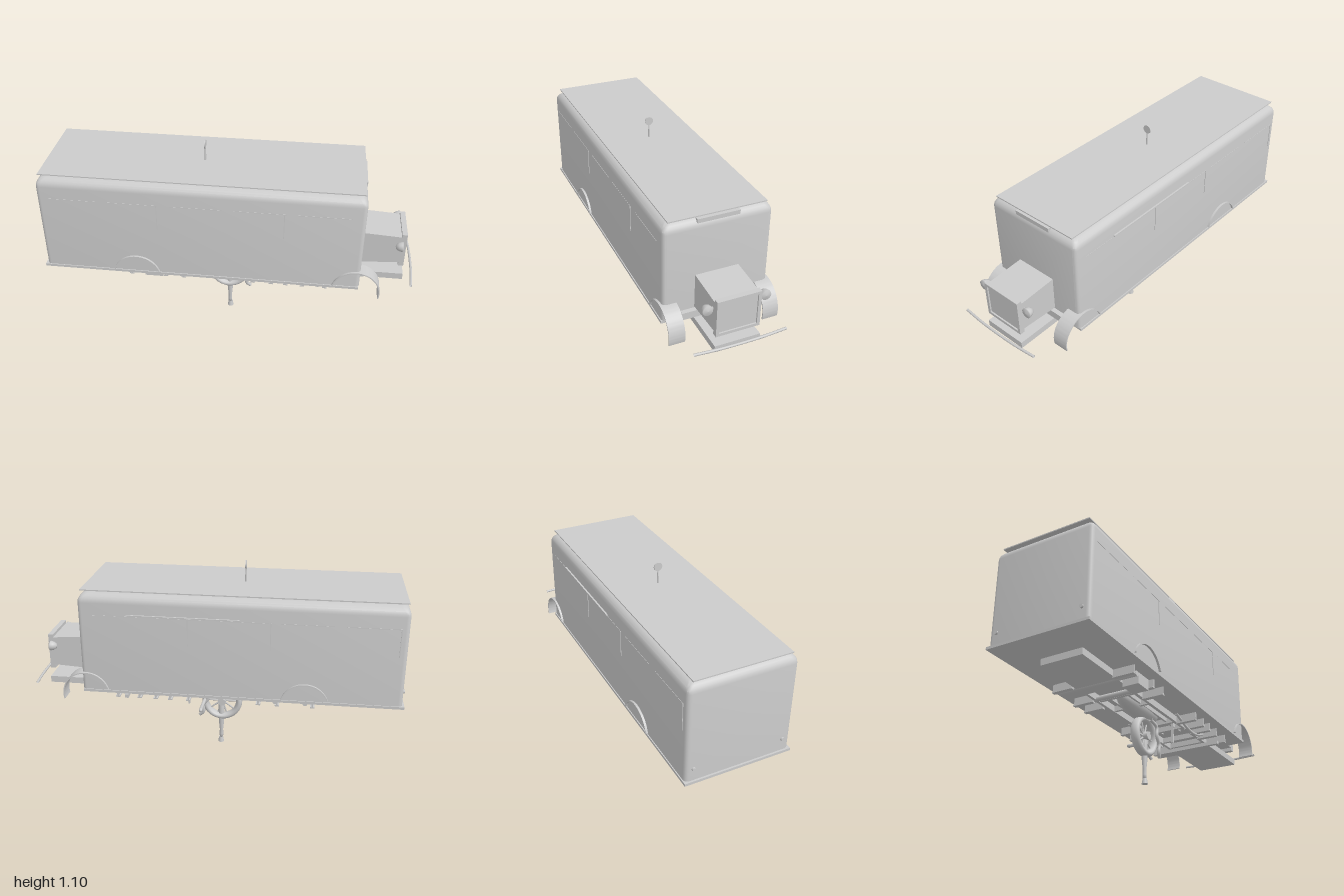
import * as THREE from 'three';
import { toCreasedNormals } from 'three/addons/utils/BufferGeometryUtils.js';

const mat = new THREE.MeshStandardMaterial({ color: 0xcccccc });
const thin = new THREE.MeshStandardMaterial({ color: 0xcccccc, side: THREE.DoubleSide });

// Box body with rounded corners, lofted upward from rounded rectangles
function coachShell(x0, x1, halfZ, y0, y1, corner, edge) {
  const rings = [[y0, 0]];
  for (let k = 0; k <= 6; k++) {
    const a = (k / 6) * Math.PI / 2;
    rings.push([y1 - edge + edge * Math.sin(a), edge * (1 - Math.cos(a))]);
  }
  const cx = (x0 + x1) / 2, hx = (x1 - x0) / 2, pos = [], idx = [], seg = 4, n = 4 * (seg + 1);
  for (const [y, inset] of rings)
    for (let q = 0; q < 4; q++)
      for (let s = 0; s <= seg; s++) {
        const a = (q + s / seg) * Math.PI / 2;
        const sx = q === 0 || q === 3 ? 1 : -1, sz = q < 2 ? 1 : -1;
        pos.push(cx + sx * (hx - inset - corner) + corner * Math.cos(a), y,
          sz * (halfZ - inset - corner) + corner * Math.sin(a));
      }
  for (let r = 0; r < rings.length - 1; r++)
    for (let i = 0; i < n; i++) {
      const a = r * n + i, b = r * n + (i + 1) % n;
      idx.push(a, a + n, b, b, a + n, b + n);
    }
  const top = (rings.length - 1) * n, c = pos.length / 3;
  pos.push(cx, y1, 0, cx, y0, 0);
  for (let i = 0; i < n; i++) {
    const j = (i + 1) % n;
    idx.push(c, top + j, top + i, c + 1, i, j);
  }
  const g = new THREE.BufferGeometry();
  g.setAttribute('position', new THREE.Float32BufferAttribute(pos, 3));
  g.setIndex(idx);
  return toCreasedNormals(g, 0.5);
}

export function createModel() {
  const root = new THREE.Group();
  const add = (name, geo, x = 0, y = 0, z = 0, m = mat) => {
    const mesh = new THREE.Mesh(geo, m);
    mesh.name = name;
    mesh.position.set(x, y, z);
    root.add(mesh);
    return mesh;
  };
  // Box given by its limits on each axis
  const box = (name, x0, x1, y0, y1, z0, z1) =>
    add(name, new THREE.BoxGeometry(x1 - x0, y1 - y0, z1 - z0), (x0 + x1) / 2, (y0 + y1) / 2, (z0 + z1) / 2);
  const tube = (name, pts, r) => add(name, new THREE.TubeGeometry(
    new THREE.CatmullRomCurve3(pts.map(p => new THREE.Vector3(...p))), 20, r, 8), 0, 0, 0, thin);

  // Coach body, sill and roof sheet
  add('body', coachShell(-0.99, 0.71, 0.283, 0.43, 0.973, 0.022, 0.05));
  box('sill', -1, 0.705, 0.418, 0.432, -0.288, 0.288);
  box('roofSheet', -0.98, 0.7, 0.98, 0.986, -0.255, 0.255);
  box('roofSpacer', -0.9, 0.62, 0.97, 0.981, -0.2, 0.2);
  box('destinationBoard', 0.67, 0.708, 0.95, 0.972, -0.11, 0.11);

  // Window rails and pillar strips on the sides
  for (const s of [-1, 1]) {
    for (let i = 0; i < 5; i++) {
      const x = -0.95 + i * 0.33;
      box('windowRail', x, x + 0.27, 0.855, 0.858, s * 0.2835 - 0.001, s * 0.2835 + 0.001);
    }
    for (const x of s > 0 ? [-0.36, 0.3] : [0.13, -0.3, -0.95])
      box('pillarStrip', x - 0.002, x + 0.002, 0.71, 0.858, s * 0.284 - 0.002, s * 0.284 + 0.002);
    const lamp = add('tailLamp', new THREE.CylinderGeometry(0.01, 0.01, 0.012, 12), -0.993, 0.5, s * 0.24);
    lamp.rotation.z = Math.PI / 2;
  }
  box('doorTrack', -0.14, 0.45, 0.862, 0.868, -0.292, -0.28);

  // Tapered hood with radiator and filler cap edge
  const hood = new THREE.BoxGeometry(0.22, 0.19, 0.23);
  const hp = hood.attributes.position;
  for (let i = 0; i < hp.count; i++)
    if (hp.getX(i) > 0) hp.setY(i, hp.getY(i) * 0.86);
  hood.computeVertexNormals();
  add('hood', hood, 0.81, 0.57, 0);
  box('radiatorCore', 0.918, 0.938, 0.475, 0.66, -0.105, 0.105);
  for (const s of [-1, 1]) {
    box('radiatorSide', 0.918, 0.946, 0.467, 0.668, s * 0.107 - 0.008, s * 0.107 + 0.008);
    box('radiatorRail', 0.918, 0.946, s > 0 ? 0.652 : 0.467, s > 0 ? 0.668 : 0.483, -0.11, 0.11);
  }
  box('hoodFooting', 0.7, 0.735, 0.43, 0.47, -0.19, 0.19);

  // Headlamps: rounded bowls facing forward, on short brackets
  const bowl = new THREE.LatheGeometry([[0, -0.026], [0.014, -0.022], [0.023, -0.008], [0.027, 0.008],
    [0.026, 0.014], [0, 0.018]].map(p => new THREE.Vector2(...p)), 20);
  for (const s of [-1, 1]) {
    add('headlamp', bowl, 0.912, 0.617, s * 0.151, thin).rotation.z = -Math.PI / 2;
    box('headlampBracket', 0.9, 0.91, 0.605, 0.615, s * 0.12 - 0.02, s * 0.12 + 0.02);
  }

  // Gently bowed bumper
  tube('bumper', [[0.982, 0.433, -0.243], [0.992, 0.433, -0.1], [0.992, 0.433, 0.1], [0.982, 0.433, 0.243]], 0.007);

  // Fenders: thin arched shells
  const fender = (x, z0, z1, a0, a1) => {
    const sh = new THREE.Shape();
    sh.absarc(0, 0, 0.13, a0, a1, false);
    sh.absarc(0, 0, 0.124, a1, a0, true);
    const g = new THREE.ExtrudeGeometry(sh, { depth: z1 - z0, bevelEnabled: false, curveSegments: 24 });
    add('fender', toCreasedNormals(g, 0.5), x, 0.4, z0, thin);
  };
  for (const s of [-1, 1]) {
    const a = Math.min(s * 0.21, s * 0.295), b = Math.max(s * 0.21, s * 0.295);
    fender(0.69, a, b, -0.24, Math.PI - 0.3);
    fender(-0.485, a, b, 0.3, Math.PI - 0.3);
  }

  // Chassis: end plates, rails, cross members and outriggers
  box('frontChassis', 0.56, 0.95, 0.38, 0.416, -0.12, 0.12);
  box('rearChassis', -0.8, -0.42, 0.382, 0.418, -0.12, 0.12);
  for (const s of [-1, 1]) {
    box('chassisRail', -0.42, 0.56, 0.382, 0.418, s * 0.112 - 0.008, s * 0.112 + 0.008);
    box('innerRail', -0.3, 0.3, 0.395, 0.42, s * 0.055 - 0.006, s * 0.055 + 0.006);
    for (const x of [-0.53, -0.34, -0.24, 0.14, 0.24, 0.32, 0.41, 0.53]) {
      box('outrigger', x - 0.004, x + 0.004, 0.375, 0.42, s * 0.18 - 0.06, s * 0.18 + 0.06);
      box('outriggerFoot', x - 0.012, x + 0.012, 0.37, 0.377, s * 0.18 - 0.06, s * 0.18 + 0.06);
    }
    box('hangerPin', 0.157, 0.167, 0.275, 0.4, s * 0.08 - 0.006, s * 0.08 + 0.006);
    tube('leafSpring', [[0.5, 0.405, s * 0.15], [0.62, 0.37, s * 0.15], [0.69, 0.36, s * 0.15],
      [0.76, 0.37, s * 0.15], [0.84, 0.4, s * 0.15]].map(p => [p[0] - 0.42, p[1], p[2]]), 0.008);
  }
  for (const x of [-0.3, -0.15, 0.14, 0.24, 0.4, 0.5])
    box('crossMember', x - 0.008, x + 0.008, 0.385, 0.415, -0.12, 0.12);
  box('toolBox', -0.46, -0.36, 0.352, 0.412, 0.13, 0.22);
  for (const x of [-0.49, -0.33])
    add('axle', new THREE.CylinderGeometry(0.014, 0.014, 0.46, 12), x, 0.39, 0).rotation.x = Math.PI / 2;
  box('frontCrossBeam', 0.48, 0.5, 0.352, 0.372, -0.21, 0.21);

  // Rounded belly casting above the single wheel
  add('bellyCasting', new THREE.SphereGeometry(1, 24, 10, 0, Math.PI * 2, Math.PI / 2, Math.PI / 2),
    -0.09, 0.415, 0, thin).scale.set(0.2, 0.065, 0.06);

  // Spoked wheel
  const wx = -0.017, wy = 0.267;
  add('tyre', new THREE.TorusGeometry(0.097, 0.018, 12, 36), wx, wy, 0).scale.z = 1.5;
  add('hub', new THREE.CylinderGeometry(0.022, 0.022, 0.06, 16), wx, wy, 0).rotation.x = Math.PI / 2;
  for (let i = 0; i < 10; i++) {
    const a = i * Math.PI / 5;
    const spoke = add('spoke', new THREE.CylinderGeometry(0.004, 0.006, 0.09, 6),
      wx + Math.cos(a) * 0.047, wy + Math.sin(a) * 0.047, 0);
    spoke.rotation.z = a - Math.PI / 2;
  }
  // Swing arms either side of the wheel and a side pedal
  for (const s of [-1, 1])
    tube('swingArm', [[0, 0.365, s * 0.032], [0.06, 0.34, s * 0.036], [0.06, 0.29, s * 0.036],
      [0.09, 0.25, s * 0.034], [0.088, 0.205, s * 0.032], [0.11, 0.18, s * 0.025]], 0.01);
  tube('pedalArm', [[0.08, 0.28, -0.035], [0.085, 0.272, -0.09], [0.085, 0.275, -0.14]], 0.01);
  add('pedal', new THREE.SphereGeometry(0.011, 12, 8), 0.085, 0.275, -0.152).scale.z = 1.6;

  // Leg and foot reaching the ground
  const leg = [[0, 0.03], [0.01, 0.03], [0.011, 0.05], [0.01, 0.08], [0.016, 0.14], [0.018, 0.29], [0, 0.29]];
  add('leg', new THREE.LatheGeometry(leg.map(p => new THREE.Vector2(...p)), 16), -0.012, 0, 0, thin);
  add('foot', new THREE.CylinderGeometry(0.012, 0.017, 0.03, 16), -0.01, 0.015, 0);

  // Roof marker: thin pole with a disc facing fore and aft
  add('markerPole', new THREE.CylinderGeometry(0.003, 0.006, 0.085, 10), -0.143, 1.02, 0);
  add('markerDisc', new THREE.CylinderGeometry(0.023, 0.023, 0.006, 24), -0.143, 1.078, 0).rotation.z = Math.PI / 2;

  return root;
}
